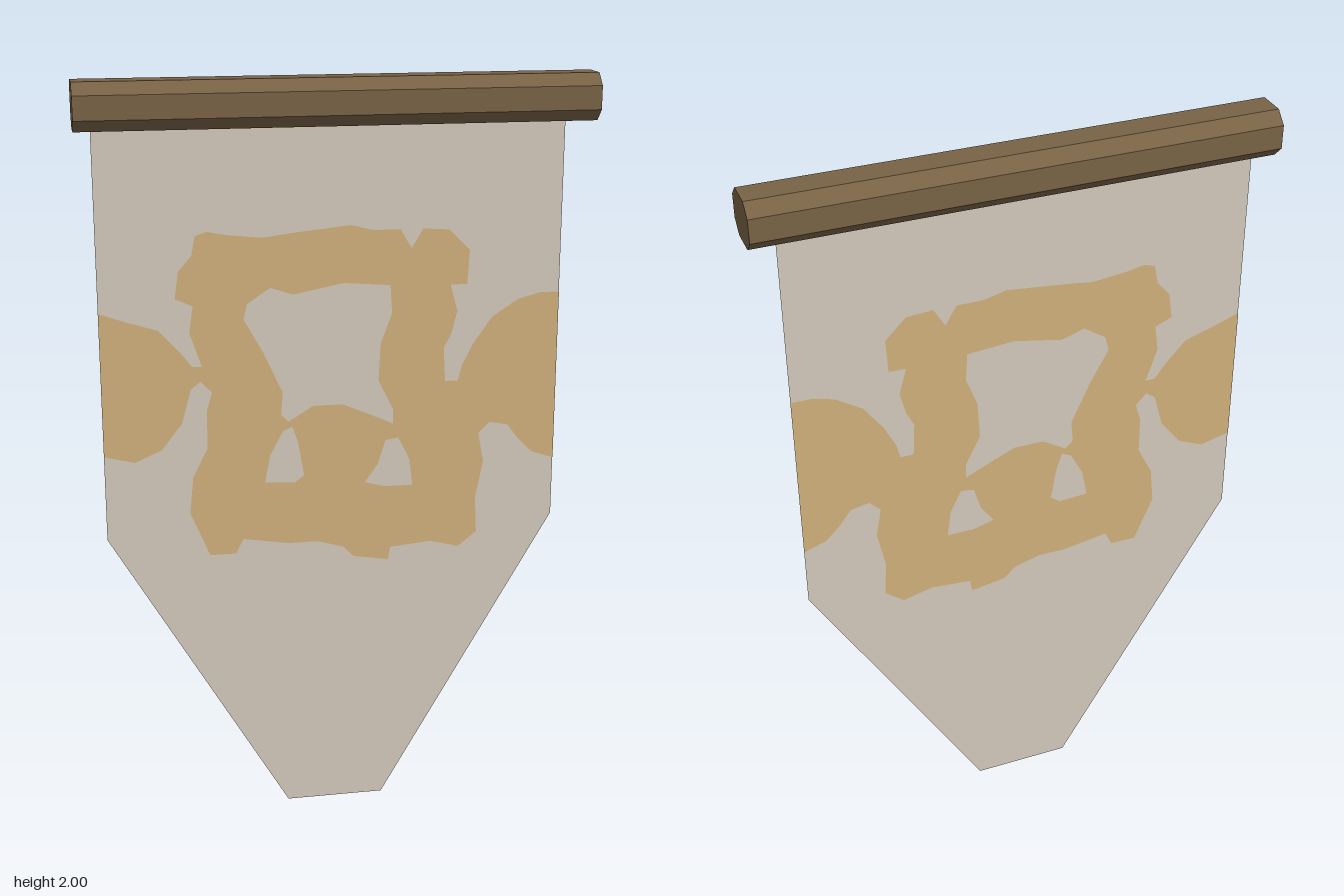
import * as THREE from 'three';

const paint = (name, color, side = THREE.FrontSide) => {
  const m = new THREE.MeshStandardMaterial({ color, side });
  m.name = name;
  return m;
};

// Outlines are drawn in hundredths of a unit
const points = (list) => list.map(([x, y]) => new THREE.Vector2(x / 100, y / 100));

export function createModel() {
  const group = new THREE.Group();
  const wood = paint('wood', 0x786245);
  const linen = paint('linen', 0xd2c9bb, THREE.DoubleSide);
  const gold = paint('gold', 0xd0b07c);

  const add = (name, geometry, material, z = 0) => {
    const mesh = new THREE.Mesh(geometry, material);
    mesh.name = name;
    mesh.position.z = z;
    group.add(mesh);
    return mesh;
  };

  // Eight-sided hanging rod, slightly flattened
  const rodShape = new THREE.Shape(points([
    [-3.7, -6], [3.7, -6], [6.8, -3], [6.8, 3], [3.7, 6], [-3.7, 6], [-6.8, 3], [-6.8, -3],
  ]));
  const rod = new THREE.ExtrudeGeometry(rodShape, { depth: 1.326, bevelEnabled: false });
  rod.translate(0, 0, -0.663).rotateY(Math.PI / 2).translate(0, 1.94, 0);
  add('rod', rod, wood);

  // Cloth with a tapered lower end
  const cloth = new THREE.Shape(points([
    [-62, 190], [-62, 81], [-14.5, 0], [12, 0], [59, 81], [59, 190],
  ]));
  add('cloth', new THREE.ShapeGeometry(cloth), linen);

  // Worn painted emblem: a rough frame with a lobe reaching each cloth edge
  const emblem = new THREE.Shape(points([
    // top edge
    [-37, 161], [-34, 162], [-29, 161], [-20, 160], [-12, 161], [3, 162.5], [9, 161], [16, 161],
    [19, 156], [22, 161], [29, 160.5], [34.5, 155], [34, 146], [29.5, 146], [31.5, 139],
    [30, 133], [28, 129], [28.5, 120], [32, 120], [33, 124],
    // right lobe
    [36, 130], [41, 137], [48, 141.5], [54, 143], [59, 143], [59, 97], [53, 99], [49, 103],
    [46, 107], [41, 108], [38, 105],
    // lower edge
    [39.5, 97], [37.5, 87], [38, 77], [33, 73], [25, 75], [14, 74], [13.5, 70.5], [4, 72],
    [1, 75], [-6, 77], [-14, 77], [-26, 79], [-28, 75], [-35, 75], [-37, 80], [-40, 87],
    [-39, 97], [-35, 105], [-35, 115], [-33.5, 120], [-36.5, 123],
    // left lobe
    [-39, 121], [-41.5, 112], [-47, 105], [-54, 102], [-62, 104], [-62, 142], [-55, 139.5],
    [-47, 137], [-41.5, 131], [-38.5, 127], [-36, 127],
    [-39, 136], [-38, 143], [-42.5, 145], [-41.5, 152], [-38, 156],
  ]));
  const gaps = [
    // central window
    [[-24, 143], [-18, 147], [-12, 145], [1, 147.5], [13.5, 146.5], [14, 139], [11, 131],
      [10.5, 121], [14.5, 113], [14.5, 109], [9, 111.5], [1, 115], [-7, 115], [-13.5, 111],
      [-15.5, 113], [-15, 119], [-20, 130], [-25, 139]],
    // two small lower openings
    [[-12.5, 109.5], [-11, 105], [-9.5, 96], [-12, 94], [-20, 94.5], [-18.5, 102], [-15, 108.5]],
    [[16, 105], [19, 99], [20, 91.5], [12.5, 91.5], [7, 93], [10.5, 98], [12.5, 104.5]],
  ];
  gaps.forEach((gap) => emblem.holes.push(new THREE.Path(points(gap))));

  // The same emblem shows through on both faces of the cloth
  const emblemGeometry = new THREE.ShapeGeometry(emblem);
  add('emblemFront', emblemGeometry, gold, 0.002);
  const reversed = emblemGeometry.clone().scale(-1, 1, 1);
  const order = reversed.index.array;
  for (let i = 0; i < order.length; i += 3) [order[i], order[i + 1]] = [order[i + 1], order[i]];
  add('emblemBack', reversed, gold, -0.002).rotation.y = Math.PI;

  return group;
}
